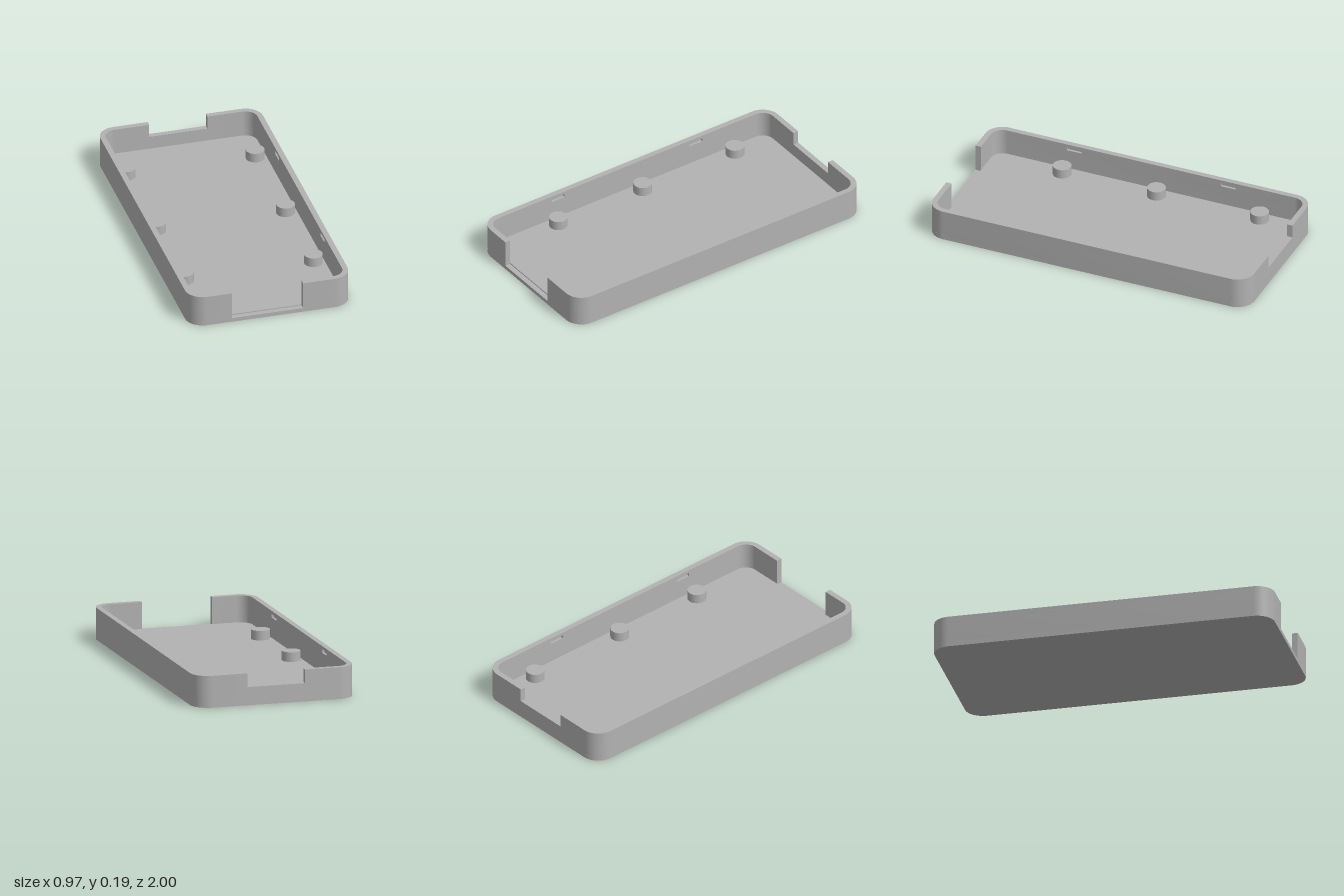
import * as THREE from 'three';
import { toCreasedNormals } from 'three/addons/utils/BufferGeometryUtils.js';

const W = 0.483, L = 1, H = 0.187, R = 0.105, T = 0.033; // half width, half length, height, corner radius, wall
const FLOOR = 0.029, LEDGE = 0.023;
const FRONT = { '-1': 0.232, '1': 0.19 }; // front opening, reach on each side
const BACK = 0.173, SILL = 0.107;         // back opening, half width and sill height

const plastic = new THREE.MeshStandardMaterial({ color: 0xb2b2b2 });
plastic.name = 'grey plastic';

function add(group, name, geometry) {
  const mesh = new THREE.Mesh(geometry, plastic);
  mesh.name = name;
  group.add(mesh);
  return mesh;
}

// Plan shape (x, -z) raised from y0 to y1
function slab(shape, y0, y1) {
  const geometry = new THREE.ExtrudeGeometry(shape, { depth: y1 - y0, bevelEnabled: false, curveSegments: 12 });
  geometry.rotateX(-Math.PI / 2).translate(0, y0, 0);
  return toCreasedNormals(geometry, 0.5);
}

// Rounded plan of the case, optionally cut back along the front opening
function floorPlan(cut) {
  const s = new THREE.Shape();
  s.moveTo(-W, -L + R);
  s.absarc(-W + R, -L + R, R, Math.PI, Math.PI * 1.5);
  if (cut) {
    s.lineTo(-FRONT[-1], -L).lineTo(-FRONT[-1], -L + T);
    s.lineTo(FRONT[1], -L + T).lineTo(FRONT[1], -L);
  }
  s.absarc(W - R, -L + R, R, Math.PI * 1.5, Math.PI * 2);
  s.absarc(W - R, L - R, R, 0, Math.PI / 2);
  s.absarc(-W + R, L - R, R, Math.PI / 2, Math.PI);
  s.closePath();
  return s;
}

// One side wall with its two corners; slots are shallow recesses in the inner face
function wallPlan(side, slots) {
  const pts = [];
  const put = (x, y) => pts.push(new THREE.Vector2(side * x, y));
  const arc = (cy, r, from, to) => {
    for (let i = 0; i <= 12; i++) {
      const a = from + (to - from) * i / 12;
      put(W - R + r * Math.cos(a), cy + r * Math.sin(a));
    }
  };
  put(FRONT[side], -L);
  arc(-L + R, R, -Math.PI / 2, 0);
  arc(L - R, R, 0, Math.PI / 2);
  put(BACK, L);
  put(BACK, L - T);
  arc(L - R, R - T, Math.PI / 2, 0);
  if (slots) {
    for (const c of [0.48, -0.48]) {
      put(W - T, c + 0.045);
      put(W - T + 0.015, c + 0.045);
      put(W - T + 0.015, c - 0.045);
      put(W - T, c - 0.045);
    }
  }
  arc(-L + R, R - T, 0, -Math.PI / 2);
  put(FRONT[side], -L + T);
  return new THREE.Shape(pts);
}

export function createModel() {
  const model = new THREE.Group();
  model.name = 'openCase';

  // Base plate, with the floor stepping down to a ledge in the front opening
  add(model, 'base', slab(floorPlan(false), 0, LEDGE));
  add(model, 'floor', slab(floorPlan(true), LEDGE, FLOOR));

  // Side walls, in layers around the latch slots
  for (const side of [-1, 1]) {
    const wall = new THREE.Group();
    wall.name = side > 0 ? 'leftWall' : 'rightWall';
    add(wall, 'lowerWall', slab(wallPlan(side, false), LEDGE, 0.148));
    add(wall, 'slottedWall', slab(wallPlan(side, true), 0.148, 0.168));
    add(wall, 'rim', slab(wallPlan(side, false), 0.168, H));
    model.add(wall);
  }

  // Low wall below the back opening
  const sill = add(model, 'backSill', new THREE.BoxGeometry(BACK * 2, SILL - LEDGE, T));
  sill.position.set(0, (SILL + LEDGE) / 2, -L + T / 2);

  // Support posts
  const post = new THREE.CylinderGeometry(0.054, 0.054, 0.056, 32);
  for (const z of [-0.705, -0.062, 0.526]) {
    for (const x of [-0.383, 0.383]) {
      add(model, 'post', post).position.set(x, FLOOR + 0.028, z);
    }
  }
  return model;
}
